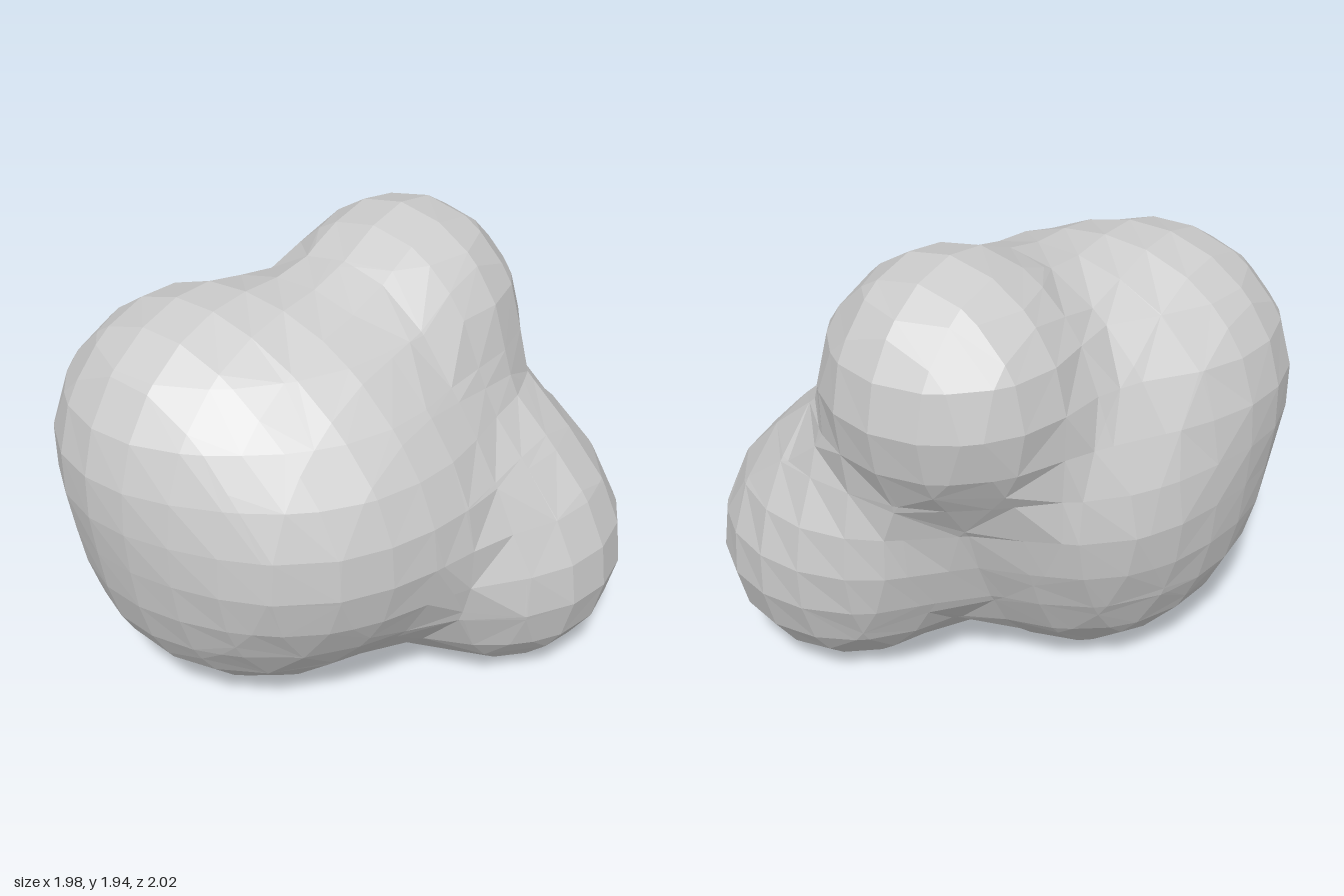
import * as THREE from 'three';

// Blobs that melt together: x, y, z, radius
const BLOBS = [
  [-0.41, 1.21, 0.44, 0.565],  // upper front
  [0, 0.95, 0.34, 0.53],       // front left
  [-0.36, 0.72, 0.4, 0.52],    // lower front
  [-0.26, 0.57, 0.17, 0.55],   // base
  [-0.1, 1.25, 0.12, 0.45],    // bridge to the top
  [0.12, 0.92, 0.05, 0.5],     // core
  [-0.42, 0.9, -0.04, 0.42],   // back right
  [-0.09, 1.45, -0.47, 0.49],  // top back
  [0.46, 0.53, -0.46, 0.52],   // low back left
  [0.27, 0.8, -0.5, 0.41],     // back valley
];
const BLEND = 9;
const CELL = 0.1865;
const START = new THREE.Vector3(-6.5 * CELL, 0.14 - 2 * CELL, -6.5 * CELL);
const COUNT = 13;

// Smooth union of the blobs, negative inside
function field(p) {
  let sum = 0;
  for (const [x, y, z, r] of BLOBS) {
    sum += Math.exp(-BLEND * (Math.hypot(p.x - x, p.y - y, p.z - z) - r));
  }
  return -Math.log(sum) / BLEND;
}

// The six cube faces as corner loops, anticlockwise from outside (corner bits: x 1, y 2, z 4)
const FACES = [];
for (let axis = 0; axis < 3; axis++) {
  const a = 1 << axis, b = 1 << ((axis + 1) % 3), c = 1 << ((axis + 2) % 3);
  FACES.push([a, a | b, a | b | c, a | c], [c, b | c, b, 0]);
}

// Outline loops of the surface within one grid cube, cut into triangles
function addCube(i, j, k, out) {
  const corners = [], values = [];
  for (let n = 0; n < 8; n++) {
    const p = new THREE.Vector3(i + (n & 1), j + ((n >> 1) & 1), k + (n >> 2));
    corners.push(p.multiplyScalar(CELL).add(START));
    values.push(field(p));
  }
  const key = (m, n) => Math.min(m, n) * 8 + Math.max(m, n);
  const cut = (e) => {
    const m = e >> 3, n = e & 7;
    return corners[m].clone().lerp(corners[n], values[m] / (values[m] - values[n]));
  };

  const next = new Map();
  for (const f of FACES) {
    for (let s = 0; s < 4; s++) {
      // Leaving the solid here: join to the edge where the face re-enters it
      if (!(values[f[s]] < 0 && values[f[(s + 1) % 4]] >= 0)) continue;
      let t = s + 1;
      while (values[f[(t + 1) % 4]] >= 0) t++;
      next.set(key(f[t % 4], f[(t + 1) % 4]), key(f[s], f[(s + 1) % 4]));
    }
  }
  while (next.size) {
    const loop = [];
    let e = next.keys().next().value;
    while (next.has(e)) {
      loop.push(cut(e));
      const following = next.get(e);
      next.delete(e);
      e = following;
    }
    for (let n = 1; n < loop.length - 1; n++) {
      for (const p of [loop[0], loop[n], loop[n + 1]]) out.push(p.x, p.y, p.z);
    }
  }
}

export function createModel() {
  const positions = [];
  for (let i = 0; i < COUNT; i++)
    for (let j = 0; j < COUNT; j++)
      for (let k = 0; k < COUNT; k++) addCube(i, j, k, positions);

  const geometry = new THREE.BufferGeometry();
  geometry.setAttribute('position', new THREE.Float32BufferAttribute(positions, 3));
  geometry.computeVertexNormals();

  const material = new THREE.MeshStandardMaterial({ color: 0xcccccc, flatShading: true });
  const blob = new THREE.Mesh(geometry, material);
  blob.name = 'blob';
  const group = new THREE.Group();
  group.name = 'lumpyBlob';
  group.add(blob);
  return group;
}
